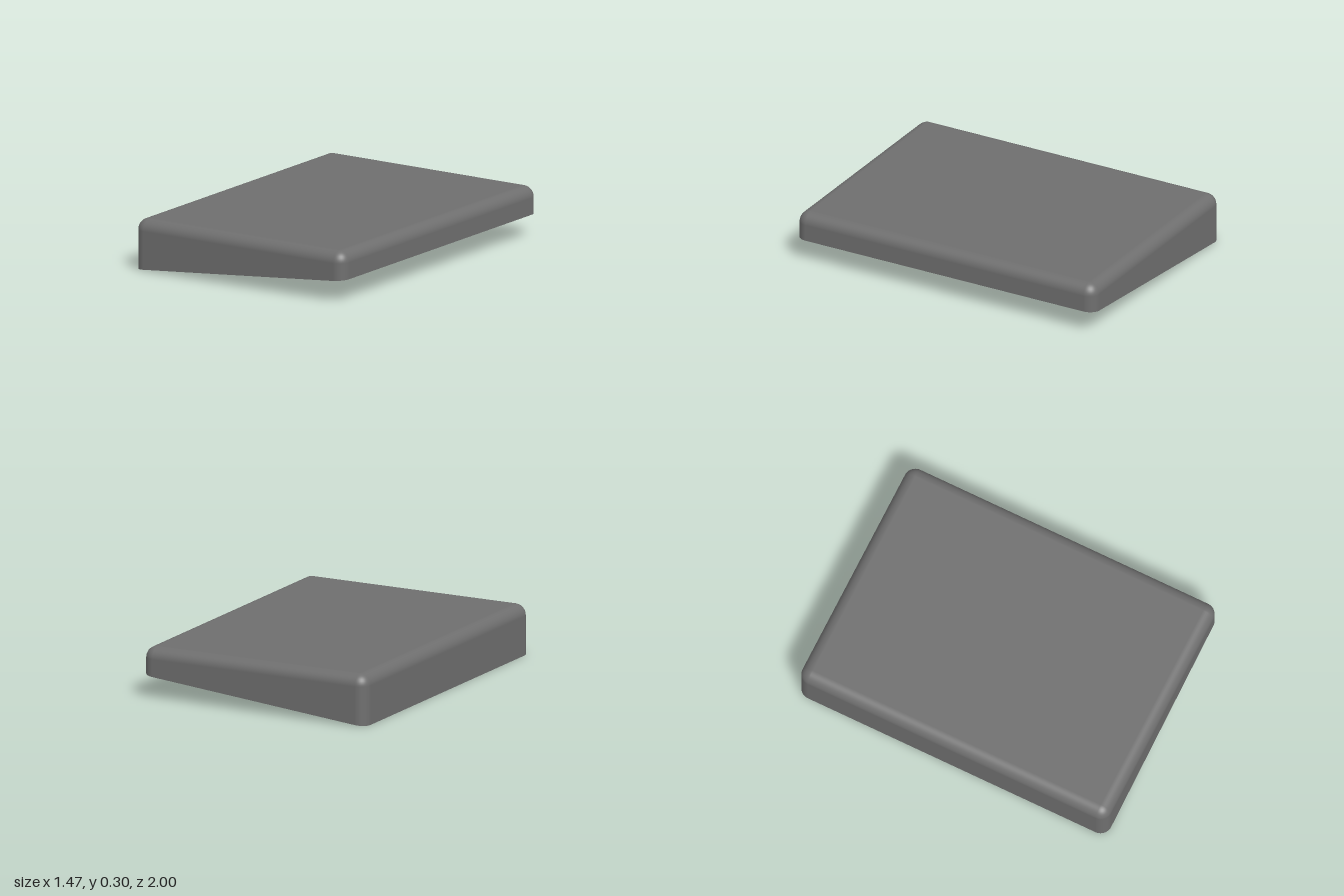
import * as THREE from 'three';

const HALF_X = 0.737, HALF_Z = 1, TOP = 0.304, RADIUS = 0.068, WALL = 0.03, LOW_EDGE = 0.137;
const CORNER_STEPS = 10, ARC_STEPS = 10;
const RING = 4 * (CORNER_STEPS + 1);

// Height of the sloping underside
const slope = x => LOW_EDGE * (x + HALF_X) / (2 * HALF_X);

function toGeometry(positions, normals, index) {
  const geometry = new THREE.BufferGeometry();
  geometry.setAttribute('position', new THREE.Float32BufferAttribute(positions, 3));
  geometry.setAttribute('normal', new THREE.Float32BufferAttribute(normals, 3));
  geometry.setIndex(index);
  return geometry;
}

// Rounded rectangle whose corner centres stay fixed while the radius changes
function ring(radius) {
  const points = [];
  const corners = [[1, 1], [-1, 1], [-1, -1], [1, -1]];
  corners.forEach(([sx, sz], k) => {
    for (let j = 0; j <= CORNER_STEPS; j++) {
      const angle = (k + j / CORNER_STEPS) * Math.PI / 2;
      const dx = Math.cos(angle), dz = Math.sin(angle);
      points.push({
        x: sx * (HALF_X - RADIUS) + dx * radius,
        z: sz * (HALF_Z - RADIUS) + dz * radius,
        dx, dz
      });
    }
  });
  return points;
}

// Walls, rounded top edge and flat top; flipped for the hollow inside
function tray(radius, inward) {
  const positions = [], normals = [], index = [];
  const sign = inward ? -1 : 1;
  const tri = (a, b, c) => inward ? index.push(a, c, b) : index.push(a, b, c);

  for (let row = 0; row <= ARC_STEPS + 1; row++) {
    const t = Math.max(0, row - 1) / ARC_STEPS * Math.PI / 2;
    const c = Math.cos(t), s = Math.sin(t);
    for (const p of ring(radius * c)) {
      const y = row === 0 ? slope(p.x) : TOP - RADIUS + radius * s;
      positions.push(p.x, y, p.z);
      normals.push(sign * p.dx * c, sign * s, sign * p.dz * c);
    }
  }
  for (let row = 0; row <= ARC_STEPS; row++) {
    for (let i = 0; i < RING; i++) {
      const a = row * RING + i, b = row * RING + (i + 1) % RING;
      tri(a, a + RING, b);
      tri(b, a + RING, b + RING);
    }
  }
  const first = (ARC_STEPS + 1) * RING, step = CORNER_STEPS + 1;
  tri(first, first + 2 * step, first + step);
  tri(first, first + 3 * step, first + 2 * step);
  return toGeometry(positions, normals, index);
}

// Flat sloping rim joining the outer and inner walls
function rim() {
  const positions = [], normals = [], index = [];
  const normal = new THREE.Vector3(LOW_EDGE / (2 * HALF_X), -1, 0).normalize();
  for (const radius of [RADIUS, RADIUS - WALL]) {
    for (const p of ring(radius)) {
      positions.push(p.x, slope(p.x), p.z);
      normals.push(normal.x, normal.y, normal.z);
    }
  }
  for (let i = 0; i < RING; i++) {
    const next = (i + 1) % RING;
    index.push(i, next, i + RING, next, next + RING, i + RING);
  }
  return toGeometry(positions, normals, index);
}

export function createModel() {
  const group = new THREE.Group();
  group.name = 'wedgeCover';
  const material = new THREE.MeshStandardMaterial({ color: 0x6e6e6e });
  const parts = {
    outerShell: tray(RADIUS, false),
    innerShell: tray(RADIUS - WALL, true),
    bottomRim: rim()
  };
  for (const [name, geometry] of Object.entries(parts)) {
    const mesh = new THREE.Mesh(geometry, material);
    mesh.name = name;
    group.add(mesh);
  }
  return group;
}
